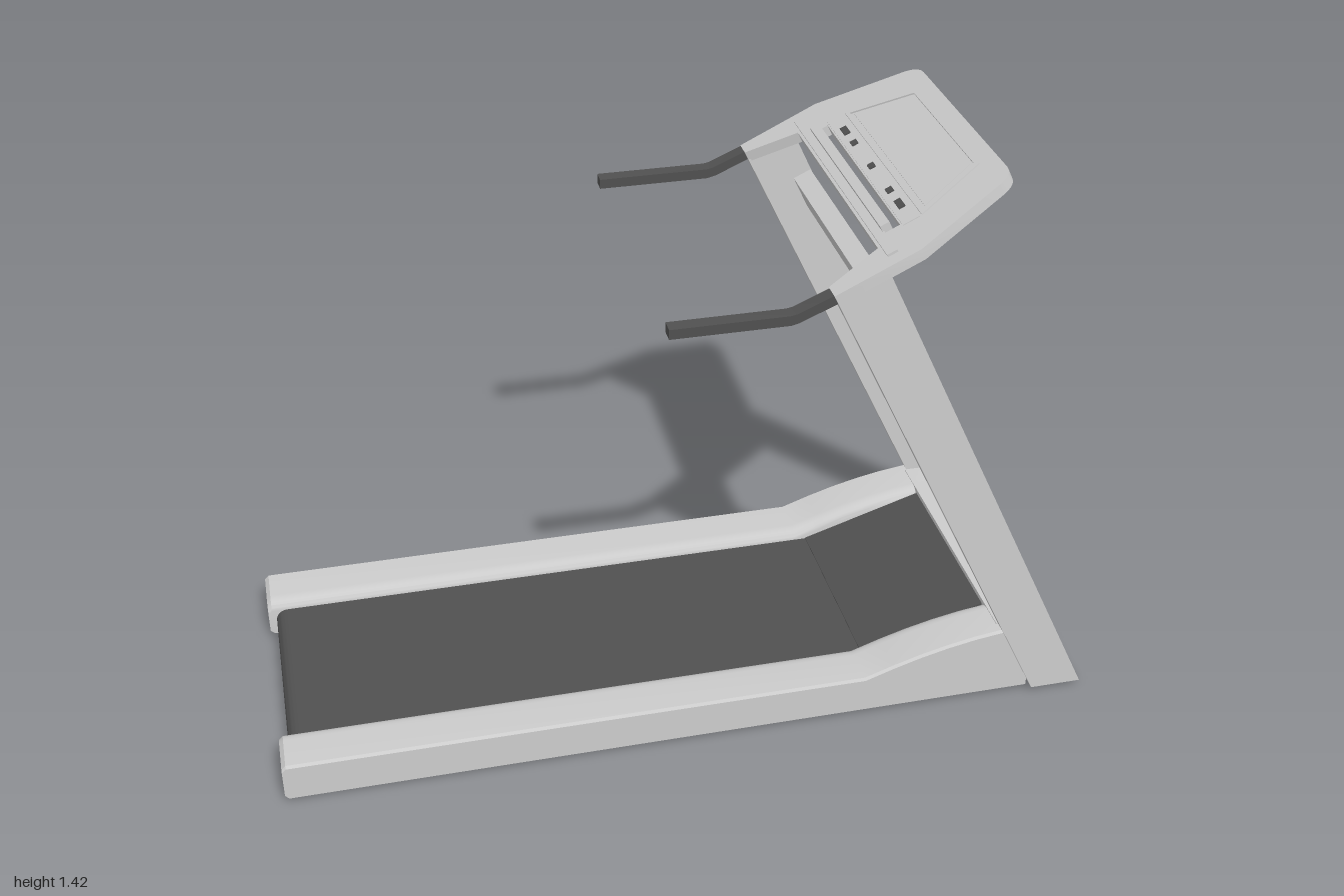
import * as THREE from 'three';
import { toCreasedNormals } from 'three/addons/utils/BufferGeometryUtils.js';

const grey = new THREE.MeshStandardMaterial({ color: 0xcccccc });
const dark = new THREE.MeshStandardMaterial({ color: 0x505050 });

function part(name, geometry, material = grey) {
  const mesh = new THREE.Mesh(geometry, material);
  mesh.name = name;
  return mesh;
}

function shapeOf(points) {
  return new THREE.Shape(points.map(([x, y]) => new THREE.Vector2(x, y)));
}

// Side profile in x/y, extruded from z0 to z1
function profile(points, z0, z1) {
  const g = new THREE.ExtrudeGeometry(shapeOf(points), { depth: z1 - z0, bevelEnabled: false });
  return toCreasedNormals(g.translate(0, 0, z0), 0.6);
}

function box(x0, x1, y0, y1, z0, z1) {
  return new THREE.BoxGeometry(x1 - x0, y1 - y0, z1 - z0)
    .translate((x0 + x1) / 2, (y0 + y1) / 2, (z0 + z1) / 2);
}

// Side rail: one section swept along x, its top rising over the motor
function railGeometry() {
  const stations = [[-1, 0.1, 0.01], [-0.99, 0.11, 0], [0.43, 0.11, 0], [0.5, 0.135, 0],
    [0.57, 0.157, 0], [0.64, 0.175, 0], [0.71, 0.189, 0], [0.79, 0.2, 0], [0.86, 0.2, 0]];
  const pos = [], idx = [];
  let n = 0;
  for (const [x, top, inset] of stations) {
    const ring = [[0.38, 0.012 + inset], [0.38, top - 0.006], [0.374, top], [0.285, top]];
    for (let k = 1; k <= 5; k++) {
      const a = (k / 5) * Math.PI / 2;
      ring.push([0.285 - 0.035 * Math.sin(a), top - 0.025 * (1 - Math.cos(a))]);
    }
    ring.push([0.25, 0.012 + inset]);
    n = ring.length;
    for (const [z, y] of ring) pos.push(x, y, z);
  }
  const last = (stations.length - 1) * n;
  for (let i = 0; i < last; i += n) {
    for (let j = 0; j < n; j++) {
      const k = (j + 1) % n;
      idx.push(i + j, i + n + j, i + k, i + n + j, i + n + k, i + k);
    }
  }
  for (let k = 1; k < n - 1; k++) idx.push(0, k, k + 1, last, last + k + 1, last + k);
  const g = new THREE.BufferGeometry();
  g.setAttribute('position', new THREE.Float32BufferAttribute(pos, 3));
  g.setIndex(idx);
  return toCreasedNormals(g, 0.5);
}

// Parts that exist once on each side
function createSide(name) {
  const side = new THREE.Group();
  side.name = name;
  side.add(part('sideRail', railGeometry()));
  side.add(part('post', profile([[0.87, 0.012], [1, 0.012], [0.415, 1.25], [0.298, 1.197]], 0.35, 0.395)));
  side.add(part('handle', profile([[-0.075, 1.155], [0.195, 1.155], [0.215, 1.16], [0.305, 1.199],
    [0.293, 1.219], [0.208, 1.182], [0.193, 1.179], [-0.075, 1.179]], 0.357, 0.392), dark));
  for (const x of [-0.955, 0.912]) {
    side.add(part('foot', new THREE.CylinderGeometry(0.026, 0.026, 0.02, 24).translate(x, 0.01, 0.31)));
  }
  return side;
}

// Endless belt with rounded ends
function beltGeometry() {
  const r = 0.03, y = 0.055, s = new THREE.Shape();
  s.absarc(0.49, y, r, -Math.PI / 2, Math.PI / 2, false);
  s.absarc(-0.95, y, r, Math.PI / 2, Math.PI * 1.5, false);
  const g = new THREE.ExtrudeGeometry(s, { depth: 0.5, bevelEnabled: false, curveSegments: 12 });
  return toCreasedNormals(g.translate(0, 0, -0.25), 0.6);
}

// Flat plate in the console plane: shape (u, z), from height v0 to v1
function plate(shape, v0, v1) {
  const g = new THREE.ExtrudeGeometry(shape, { depth: v1 - v0, bevelEnabled: false, curveSegments: 8 });
  return toCreasedNormals(g.rotateX(-Math.PI / 2).translate(0, v0, 0), 0.6);
}

function createConsole() {
  const console_ = new THREE.Group();
  console_.name = 'console';

  // Main plate with two arms and a narrow slot behind the ledge
  const s = new THREE.Shape();
  s.moveTo(0, -0.395);
  s.lineTo(0.21, -0.395);
  s.lineTo(0.425, -0.322);
  s.quadraticCurveTo(0.467, -0.308, 0.467, -0.27);
  s.lineTo(0.467, 0.27);
  s.quadraticCurveTo(0.467, 0.308, 0.425, 0.322);
  s.lineTo(0.21, 0.395);
  s.lineTo(0, 0.395);
  s.lineTo(0, 0.352);
  s.lineTo(0.135, 0.31);
  s.lineTo(0.135, -0.31);
  s.lineTo(0, -0.352);
  s.closePath();
  s.holes.push(shapeOf([[0.186, -0.27], [0.186, 0.27], [0.204, 0.27], [0.204, -0.27]]));
  console_.add(part('consolePlate', plate(s, -0.028, 0)));

  // Reading ledge
  console_.add(part('ledgeBar', box(0.142, 0.167, -0.034, 0.006, -0.36, 0.36)));
  console_.add(part('ledgeLip', box(0.163, 0.186, -0.034, 0.02, -0.27, 0.27)));

  // Display: trapezoid frame around a flat screen
  const frame = shapeOf([[0.255, -0.28], [0.425, -0.21], [0.425, 0.21], [0.255, 0.28]]);
  frame.holes.push(shapeOf([[0.265, -0.265], [0.265, 0.265], [0.415, 0.2], [0.415, -0.2]]));
  console_.add(part('displayFrame', plate(frame, 0, 0.004)));
  console_.add(part('screen', plate(shapeOf([[0.272, -0.253], [0.408, -0.193], [0.408, 0.193], [0.272, 0.253]]), 0, 0.002)));

  // Button strip
  console_.add(part('buttonStrip', box(0.208, 0.25, 0, 0.002, -0.28, 0.28)));
  for (const [z, w] of [[-0.2, 0.036], [-0.13, 0.02], [0, 0.02], [0.13, 0.02], [0.2, 0.036]]) {
    console_.add(part('button', box(0.222, 0.238, 0, 0.006, z - w / 2, z + w / 2), dark));
  }

  console_.position.set(0.288, 1.217, 0);
  console_.rotation.z = Math.atan2(0.205, 0.42);
  return console_;
}

export function createModel() {
  const model = new THREE.Group();
  model.name = 'treadmill';

  // Mirrored sides
  const near = createSide('frontSide');
  const far = createSide('backSide');
  far.scale.z = -1;
  model.add(near, far);

  // Running deck
  model.add(part('belt', beltGeometry(), dark));
  model.add(part('rampPanel', profile([[0.46, 0.08], [0.475, 0.08], [0.78, 0.175], [0.78, 0.19], [0.46, 0.087]], -0.25, 0.25), dark));

  // Motor hood between the posts
  model.add(part('motorHood', profile([[0.775, 0.012], [0.998, 0.012], [0.922, 0.172], [0.915, 0.184],
    [0.905, 0.192], [0.89, 0.198], [0.87, 0.2], [0.775, 0.2]], -0.35, 0.35)));

  // Crossbar tilted with the posts
  const bar = part('crossbar', new THREE.BoxGeometry(0.047, 0.088, 0.7));
  bar.position.set(0.456, 1.105, 0);
  bar.rotation.z = Math.atan2(0.59, 1.25);
  model.add(bar);

  model.add(createConsole());
  return model;
}
